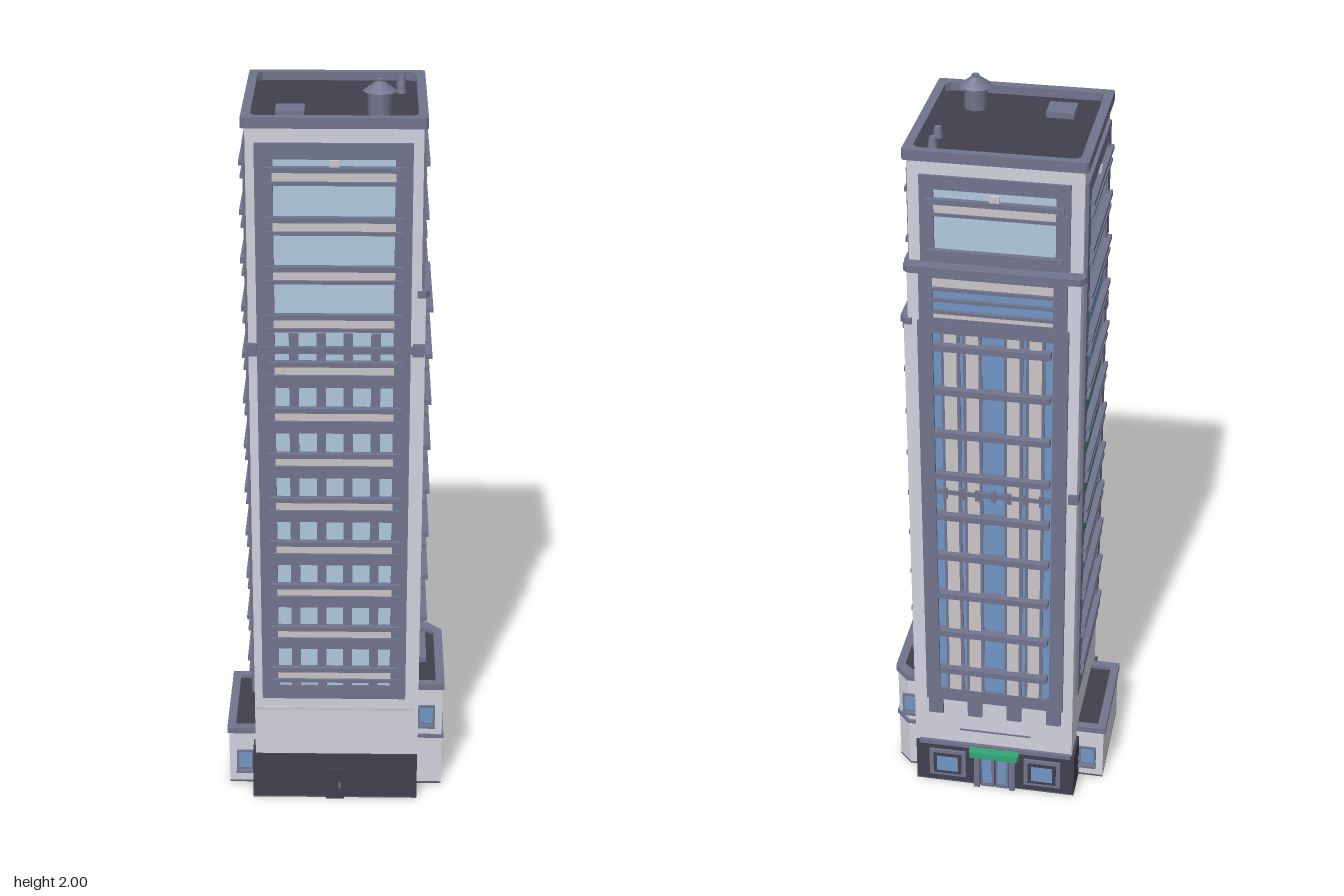
import * as THREE from 'three';

const mat = (name, color) => {
  const m = new THREE.MeshStandardMaterial({ color });
  m.name = name;
  return m;
};

export function createModel() {
  const wall = mat('pale stone', 0xd2d2de), slate = mat('slate trim', 0x71758d);
  const dark = mat('dark stone', 0x413f4d), glass = mat('light glass', 0xb0c9df);
  const blue = mat('deep blue glass', 0x7096c6), band = mat('pale grey band', 0xcbc6c9);
  const green = mat('awning green', 0x33a577), blind = mat('green blind', 0x338660);
  const underside = mat('underside grey', 0x5c6067);
  const root = new THREE.Group();
  root.name = 'tower';

  const add = (parent, name, geo, material, x = 0, y = 0, z = 0) => {
    const m = new THREE.Mesh(geo, material);
    m.name = name;
    m.position.set(x, y, z);
    parent.add(m);
    return m;
  };
  // Box from min/max extents
  const box = (p, name, m, x0, x1, y0, y1, z0, z1) =>
    add(p, name, new THREE.BoxGeometry(x1 - x0, y1 - y0, z1 - z0), m, (x0 + x1) / 2, (y0 + y1) / 2, (z0 + z1) / 2);
  const rect = (x0, x1, y0, y1) => [[x0, y0], [x1, y0], [x1, y1], [x0, y1]].map(p => new THREE.Vector2(...p));
  // Upright rectangular frame with an opening, standing out from z = 0
  const frame = (p, name, m, outer, inner, depth) => {
    const s = new THREE.Shape(rect(...outer));
    s.holes.push(new THREE.Path(rect(...inner)));
    return add(p, name, new THREE.ExtrudeGeometry(s, { depth, bevelEnabled: false }), m);
  };
  // Floor plan outline [x, z] raised from y0 to y1, optionally with a hole wound the other way
  const plan = (p, name, m, pts, y0, y1, hole) => {
    const s = new THREE.Shape(pts.map(([x, z]) => new THREE.Vector2(x, -z)));
    if (hole) s.holes.push(new THREE.Path(hole.map(([x, z]) => new THREE.Vector2(x, -z)).reverse()));
    const g = new THREE.ExtrudeGeometry(s, { depth: y1 - y0, bevelEnabled: false });
    g.rotateX(-Math.PI / 2);
    return add(p, name, g, m, 0, y0, 0);
  };
  const chamfered = (x0, x1, z0, z1, c) => [[x0 + c, z0], [x1 - c, z0], [x1, z0 + c], [x1, z1 - c],
    [x1 - c, z1], [x0 + c, z1], [x0, z1 - c], [x0, z0 + c]];
  // Facade group: local x along the wall, local z outward
  const facade = (name, angle, x, z) => {
    const g = new THREE.Group();
    g.name = name;
    g.rotation.y = angle;
    g.position.set(x, 0, z);
    root.add(g);
    return g;
  };
  const floorY = k => 0.415 + 0.1265 * k;

  // Main masses
  box(root, 'underside', underside, -0.225, 0.225, 0, 0.004, -0.226, 0.236);
  box(root, 'base', dark, -0.225, 0.225, 0.004, 0.14, -0.226, 0.236);
  box(root, 'lowerBody', wall, -0.217, 0.215, 0.14, 1.62, -0.222, 0.232);
  box(root, 'upperBody', wall, -0.217, 0.215, 1.62, 1.91, -0.192, 0.232);
  box(root, 'sideWall', wall, 0.21, 0.226, 0.14, 1.475, -0.222, 0.232);
  plan(root, 'sideWallCap', slate, [[0.205, -0.227], [0.222, -0.227], [0.236, -0.212], [0.236, 0.225], [0.225, 0.237], [0.205, 0.237]], 1.475, 1.492);
  plan(root, 'backSetbackLedge', slate, chamfered(-0.227, 0.225, -0.228, -0.185, 0.012), 1.62, 1.638);

  // Roof
  box(root, 'roofDeck', dark, -0.21, 0.21, 1.9, 1.913, -0.19, 0.225);
  plan(root, 'cornice', slate, chamfered(-0.227, 0.225, -0.205, 0.245, 0.006), 1.908, 1.935, chamfered(-0.204, 0.202, -0.184, 0.221, 0.012));
  box(root, 'roofHatch', slate, -0.146, -0.075, 1.91, 1.928, 0.093, 0.163);
  add(root, 'chimney', new THREE.CylinderGeometry(0.03, 0.03, 0.062, 8), slate, 0.108, 1.943, 0.128);
  add(root, 'chimneyCap', new THREE.CylinderGeometry(0.01, 0.043, 0.024, 8), slate, 0.108, 1.983, 0.128);
  add(root, 'chimneyTip', new THREE.CylinderGeometry(0.01, 0.01, 0.006, 8), slate, 0.108, 1.997, 0.128);
  for (const z of [-0.128, -0.068]) add(root, 'roofVent', new THREE.CylinderGeometry(0.009, 0.014, 0.028, 8), slate, 0.163, 1.926, z);

  // Tall window strip: each floor has a ledge, pale spandrel and sill
  const windowStrip = (p, paneAt, headerFloors) => {
    frame(p, 'windowFrame', slate, [-0.195, 0.19, 0.32, 1.87], [-0.15, 0.147, 0.36, 1.83], 0.008);
    for (let k = 0; k <= 11; k++) {
      const a = Math.max(0.35, floorY(k - 1)), y = floorY(k);
      box(p, 'pane', paneAt(k), -0.152, 0.149, a, y - 0.03, 0, 0.002);
      if (k && k <= headerFloors) box(p, 'paneHeader', slate, -0.152, 0.149, y - 0.068, y - 0.036, 0, 0.006);
      box(p, 'spandrel', band, -0.152, 0.149, y - 0.032, y, 0, 0.009);
      box(p, 'ledge', slate, -0.17, 0.17, y - 0.007, y + 0.006, 0, 0.019);
      box(p, 'sill', slate, -0.17, 0.17, y - 0.04, y - 0.031, 0, 0.016);
    }
    box(p, 'topPane', glass, -0.152, 0.149, floorY(11), 1.84, 0, 0.002);
    box(p, 'lamp', band, -0.012, 0.012, 1.80, 1.828, 0, 0.012);
  };

  // Front
  const front = facade('frontFacade', 0, 0, 0.232);
  windowStrip(front, () => glass, 7);
  for (const x of [-0.103, -0.034, 0.034, 0.103]) box(front, 'mullion', slate, x - 0.012, x + 0.012, 0.35, 1.38, 0, 0.006);
  box(front, 'belt', slate, -0.222, 0.22, 1.327, 1.345, -0.01, 0.012);
  for (const s of [-1, 1]) box(front, 'beltEnd', slate, s * 0.21 - 0.015, s * 0.21 + 0.015, 1.32, 1.352, -0.012, 0.013);
  box(front, 'lowerMoulding', band, -0.217, 0.215, 0.28, 0.29, 0, 0.004);
  box(front, 'serviceDoor', dark, -0.025, 0.025, 0, 0.095, 0, 0.011);
  box(front, 'doorHandle', slate, 0.01, 0.016, 0.035, 0.055, 0.011, 0.014);

  // Left side, with green blinds on the middle floors
  const left = facade('leftFacade', -Math.PI / 2, -0.217, 0.02);
  windowStrip(left, k => (k > 3 && k < 8 ? blind : k < 10 ? blue : glass), 0);

  // Right side: ledges on the blank wall, windows above
  const right = facade('rightFacade', Math.PI / 2, 0.226, 0.02);
  for (let k = 0; k < 9; k++) {
    const y = floorY(k);
    box(right, 'wallLedge', slate, -0.17, 0.17, y - 0.007, y + 0.006, 0, 0.02);
    if (k) box(right, 'wallSill', slate, -0.17, 0.17, y - 0.04, y - 0.028, 0, 0.012);
  }
  const bigWindow = (p) => {
    frame(p, 'upperFrame', slate, [-0.185, 0.185, 1.64, 1.87], [-0.15, 0.15, 1.665, 1.835], 0.008);
    box(p, 'upperPane', glass, -0.152, 0.152, 1.66, 1.84, 0, 0.002);
    box(p, 'upperSpandrel', band, -0.152, 0.152, 1.773, 1.8, 0, 0.006);
    box(p, 'upperSill', slate, -0.152, 0.152, 1.765, 1.773, 0, 0.01);
    for (const y of [1.67, 1.806]) box(p, 'upperLedge', slate, -0.17, 0.17, y - 0.007, y + 0.006, 0, 0.017);
    box(p, 'lamp', band, -0.012, 0.012, 1.805, 1.828, 0, 0.012);
  };
  const lowWindow = (p, y0, pane) => {
    frame(p, 'lowFrame', slate, [-0.185, 0.185, y0, 1.62], [-0.15, 0.15, y0 + 0.012, 1.612], 0.008);
    box(p, 'lowPane', pane, -0.152, 0.152, y0 + 0.01, 1.615, 0, 0.002);
    box(p, 'lowHeader', band, -0.152, 0.152, 1.588, 1.612, 0, 0.006);
    box(p, 'lowSill', band, -0.152, 0.152, y0 + 0.012, y0 + 0.027, 0, 0.006);
    for (const y of [y0 + 0.03, 1.553, 1.583]) box(p, 'lowLedge', slate, -0.16, 0.16, y - 0.004, y + 0.004, 0, 0.012);
  };
  const rightTop = facade('rightUpperFacade', Math.PI / 2, 0.215, 0.02);
  bigWindow(rightTop);
  lowWindow(rightTop, 1.492, glass);
  box(rightTop, 'upperBelt', slate, -0.185, 0.215, 1.622, 1.638, 0, 0.012);

  // Back
  const backTop = facade('backUpperFacade', Math.PI, 0, -0.192);
  bigWindow(backTop);
  const back = facade('backFacade', Math.PI, 0, -0.222);
  lowWindow(back, 1.49, blue);
  frame(back, 'columnFrame', slate, [-0.19, 0.19, 0.3, 1.49], [-0.152, 0.152, 0.34, 1.46], 0.01);
  box(back, 'tallPane', blue, -0.155, 0.155, 0.335, 1.465, 0, 0.002);
  for (const x of [-0.108, -0.052, 0.052, 0.108]) {
    box(back, 'columnStrip', slate, x - 0.024, x + 0.024, 0.335, 1.465, 0, 0.005);
    box(back, 'column', band, x - 0.016, x + 0.016, 0.335, 1.465, 0, 0.009);
  }
  for (let k = 0; k < 9; k++) box(back, 'backLedge', slate, -0.148, 0.148, floorY(k) - 0.009, floorY(k) + 0.008, 0, 0.027);
  for (const x of [-0.165, -0.055, 0.055, 0.165]) box(back, 'frameTab', slate, x - 0.02, x + 0.02, 0.25, 0.3, 0, 0.01);
  box(back, 'midBelt', slate, -0.148, 0.148, 0.985, 0.997, 0, 0.013);
  for (let i = -3; i <= 3; i++) box(back, 'dentil', slate, i * 0.042 - 0.006, i * 0.042 + 0.006, 0.972, 1.005, 0, 0.012);
  box(back, 'cornerBracket', slate, 0.195, 0.222, 0.988, 1.015, -0.025, 0.008);
  box(back, 'lowerMoulding', slate, -0.1, 0.1, 0.19, 0.194, 0, 0.003);

  // Entrance with awning and shop windows
  box(back, 'entranceLintel', slate, -0.215, 0.215, 0.134, 0.146, 0, 0.01);
  for (const s of [-1, 1]) {
    const x = s * 0.135;
    box(back, 'shopFrame', slate, x - 0.052, x + 0.052, 0.025, 0.115, 0, 0.011);
    box(back, 'shopSurround', dark, x - 0.04, x + 0.04, 0.035, 0.105, 0, 0.013);
    box(back, 'shopWindow', blue, x - 0.03, x + 0.03, 0.045, 0.095, 0, 0.015);
    box(back, 'doorJamb', slate, s * 0.05 - 0.008, s * 0.05 + 0.008, 0, 0.12, 0, 0.016);
    box(back, 'doorLeaf', slate, s * 0.021 - 0.019, s * 0.021 + 0.019, 0, 0.115, 0, 0.009);
    box(back, 'doorGlass', blue, s * 0.021 - 0.013, s * 0.021 + 0.013, 0.015, 0.105, 0, 0.011);
  }
  plan(root, 'awning', green, [[-0.07, -0.22], [-0.07, -0.25], [-0.065, -0.256], [0.065, -0.256], [0.07, -0.25], [0.07, -0.22]], 0.12, 0.14);

  // Side annexes: walls, parapet, sunk roof and end windows with sills
  const annex = (name, outline, cap, roof, height, bandY, wx, wy, ends) => {
    const g = new THREE.Group();
    g.name = name;
    root.add(g);
    plan(g, 'annexUnderside', underside, outline, 0, 0.006);
    plan(g, 'annexWalls', wall, outline, 0.006, height - 0.012);
    plan(g, 'annexParapet', slate, cap, height - 0.014, height + 0.003, roof);
    plan(g, 'annexRoof', dark, roof, height - 0.013, height - 0.008);
    if (bandY) plan(g, 'annexBand', slate, cap, bandY - 0.005, bandY + 0.005);
    ends.forEach(([z, s]) => {
      const slab = (part, m, hx, y0, y1, d) =>
        box(g, part, m, wx - hx, wx + hx, wy + y0, wy + y1, Math.min(z, z + s * d), Math.max(z, z + s * d));
      slab('annexWindowFrame', slate, 0.024, -0.03, 0.03, 0.005);
      slab('annexWindow', blue, 0.018, -0.023, 0.023, 0.007);
      slab('annexSill', slate, 0.025, -0.036, -0.029, 0.017);
    });
  };
  annex('rightAnnex',
    [[0.2, -0.17], [0.257, -0.17], [0.294, -0.132], [0.294, 0.163], [0.2, 0.163]],
    [[0.2, -0.176], [0.26, -0.176], [0.299, -0.135], [0.299, 0.168], [0.2, 0.168]],
    [[0.226, -0.145], [0.25, -0.145], [0.275, -0.122], [0.275, 0.145], [0.226, 0.145]],
    0.32, 0.157, 0.25, 0.225, [[0.163, 1], [-0.17, -1]]);
  annex('leftAnnex',
    [[-0.294, -0.132], [-0.2, -0.132], [-0.2, 0.163], [-0.294, 0.163]],
    [[-0.299, -0.137], [-0.2, -0.137], [-0.2, 0.168], [-0.299, 0.168]],
    [[-0.276, -0.115], [-0.217, -0.115], [-0.217, 0.145], [-0.276, 0.145]],
    0.175, 0, -0.25, 0.075, [[0.163, 1], [-0.132, -1]]);

  return root;
}
